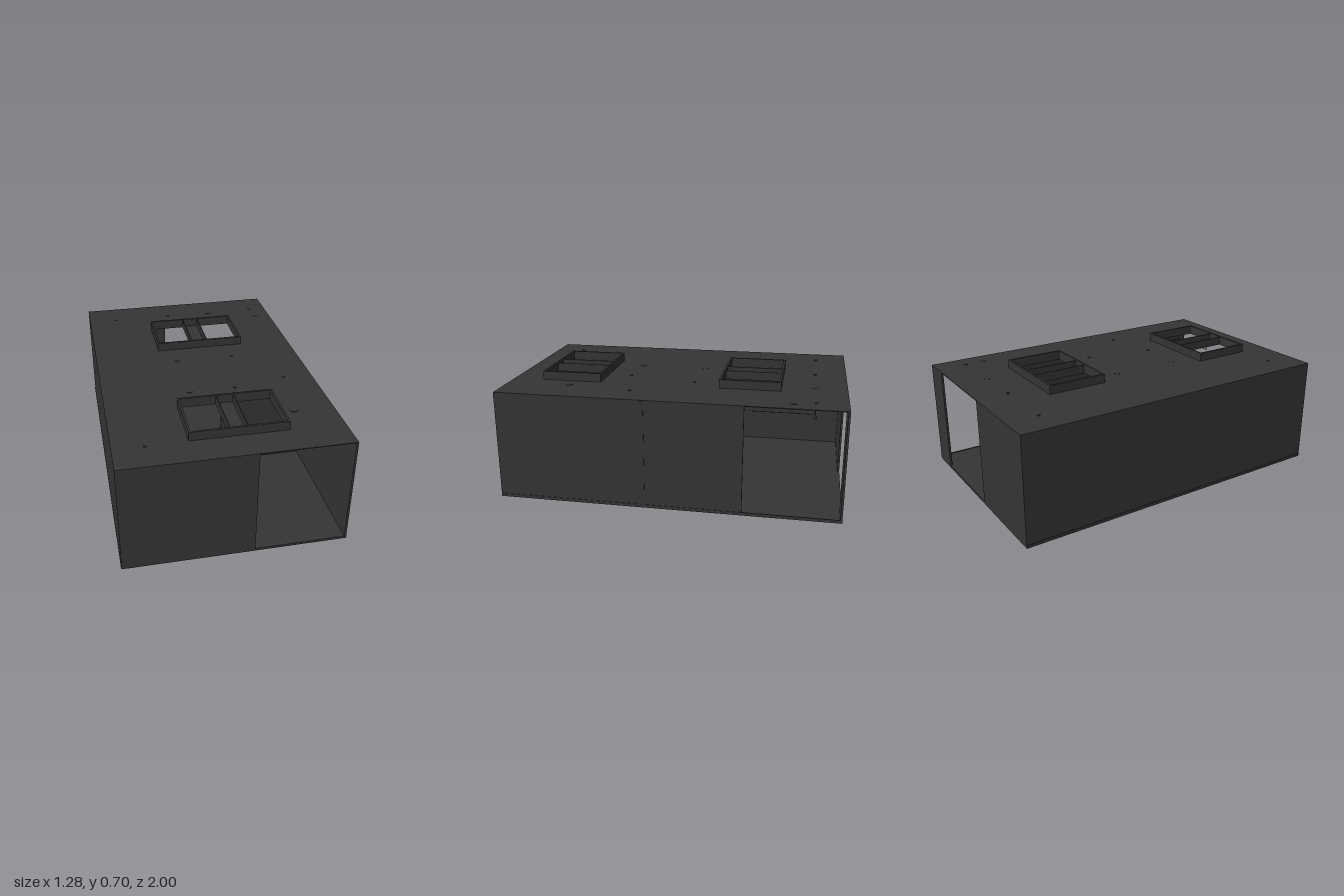
import * as THREE from 'three';

export function createModel() {
  const model = new THREE.Group();
  model.name = 'cabin';
  const charcoal = new THREE.MeshStandardMaterial({ color: 0x353535 });
  charcoal.name = 'charcoal';

  const add = (name, geometry, parent = model) => {
    const mesh = new THREE.Mesh(geometry, charcoal);
    mesh.name = name;
    parent.add(mesh);
    return mesh;
  };
  // Box given by its limits on each axis
  const slab = (name, x0, x1, y0, y1, z0, z1, parent) => {
    const mesh = add(name, new THREE.BoxGeometry(x1 - x0, y1 - y0, z1 - z0), parent);
    mesh.position.set((x0 + x1) / 2, (y0 + y1) / 2, (z0 + z1) / 2);
    return mesh;
  };
  const W = 0.635, L = 1, T = 0.012, FLOOR = 0.015, ROOF = 0.65, UNDER = 0.645;

  // Floor
  slab('floor', -W, W, 0, FLOOR, -L, L);

  // Outer walls, leaving three corner openings
  slab('leftWall', -W, -W + T, FLOOR, UNDER, -L, L);
  slab('rightWall', W - T, W, FLOOR, UNDER, -0.44, L);
  slab('frontWall', -W + T, 0.105, FLOOR, UNDER, L - T, L);
  slab('backWall', -W + T, -0.08, FLOOR, UNDER, -L, -L + T);
  slab('backPillar', 0.467, W, FLOOR, UNDER, -L, -L + T);
  slab('partition', 0.1, W - T, FLOOR, UNDER, 0.124, 0.136);

  // Trim strips at wall joints and edges
  slab('wallJoint', W, W + 0.003, FLOOR, UNDER, 0.12, 0.14);
  for (const s of [-1, 1]) {
    const x = s * (W + 0.001);
    slab('baseTrim', x - 0.002, x + 0.002, 0.008, 0.02, -L, L);
  }

  // Skylights: roof holes, upstands and a divided middle
  const X0 = -0.23, X1 = 0.32, MID0 = -0.01, MID1 = 0.095, C = 0.012;
  const skylights = [[-0.62, -0.26], [0.455, 0.815]];
  const roofShape = new THREE.Shape();
  roofShape.moveTo(-W, -L).lineTo(W, -L).lineTo(W, L).lineTo(-W, L).closePath();
  for (const [z0, z1] of skylights) {
    for (const [a, b] of [[X0 + C, MID0], [MID1, X1 - C]]) {
      const hole = new THREE.Path();
      hole.moveTo(a, -z0 - C).lineTo(b, -z0 - C).lineTo(b, -z1 + C).lineTo(a, -z1 + C).closePath();
      roofShape.holes.push(hole);
    }
    const curb = new THREE.Group();
    curb.name = 'skylightFrame';
    model.add(curb);
    for (const x of [X0, X1 - C]) slab('curbSide', x, x + C, ROOF, 0.702, z0, z1, curb);
    for (const z of [z0, z1 - C]) slab('curbEnd', X0 + C, X1 - C, ROOF, 0.702, z, z + C, curb);
    for (const x of [MID0, MID1 - 0.006]) slab('divider', x, x + 0.006, ROOF, 0.698, z0 + C, z1 - C, curb);
  }
  const roof = add('roof', new THREE.ExtrudeGeometry(roofShape, { depth: ROOF - UNDER, bevelEnabled: false }));
  roof.rotation.x = -Math.PI / 2;
  roof.position.y = UNDER;

  // Flat roof caps and small raised studs
  const disc = (name, r, h, x, z) =>
    add(name, new THREE.CylinderGeometry(r, r, h, 20)).position.set(x, ROOF + h / 2, z);
  for (const [x, z] of [[0.21, -0.81], [0.54, -0.7], [-0.13, -0.11], [-0.13, 0.3], [0.4, 0.625]])
    disc('roofCap', 0.021, 0.002, x, z);
  for (const [x, z] of [[-0.46, 0.82], [-0.46, -0.81], [0.52, -0.82], [-0.08, -0.81], [0.46, 0.24], [0.14, 0.31], [0.22, -0.1]])
    disc('roofStud', 0.009, 0.004, x, z);

  // Thin hanging rails inside the openings
  const R = 0.002, Y = 0.568;
  const rail = (name, a, b) => {
    const path = new THREE.LineCurve3(new THREE.Vector3(...a), new THREE.Vector3(...b));
    add(name, new THREE.TubeGeometry(path, 1, R, 6));
  };
  for (const s of [-1, 1]) {
    rail('crossRail', [0.14, Y, s * 0.82], [0.46, Y, s * 0.82]);
    rail('sideRail', [0.46, Y, s * 0.44], [0.46, Y, s * 0.82]);
    for (const x of [0.14, 0.46]) rail('railHanger', [x, Y, s * 0.82], [x, UNDER, s * 0.82]);
    add('railKnob', new THREE.SphereGeometry(0.01, 12, 8)).position.set(0.37, 0.545, s * 0.69);
    const tip = add('railTip', new THREE.ConeGeometry(0.011, 0.024, 8));
    tip.position.set(0.463, 0.547, s * 0.82);
    tip.rotation.z = -Math.PI / 2;
  }
  return model;
}
